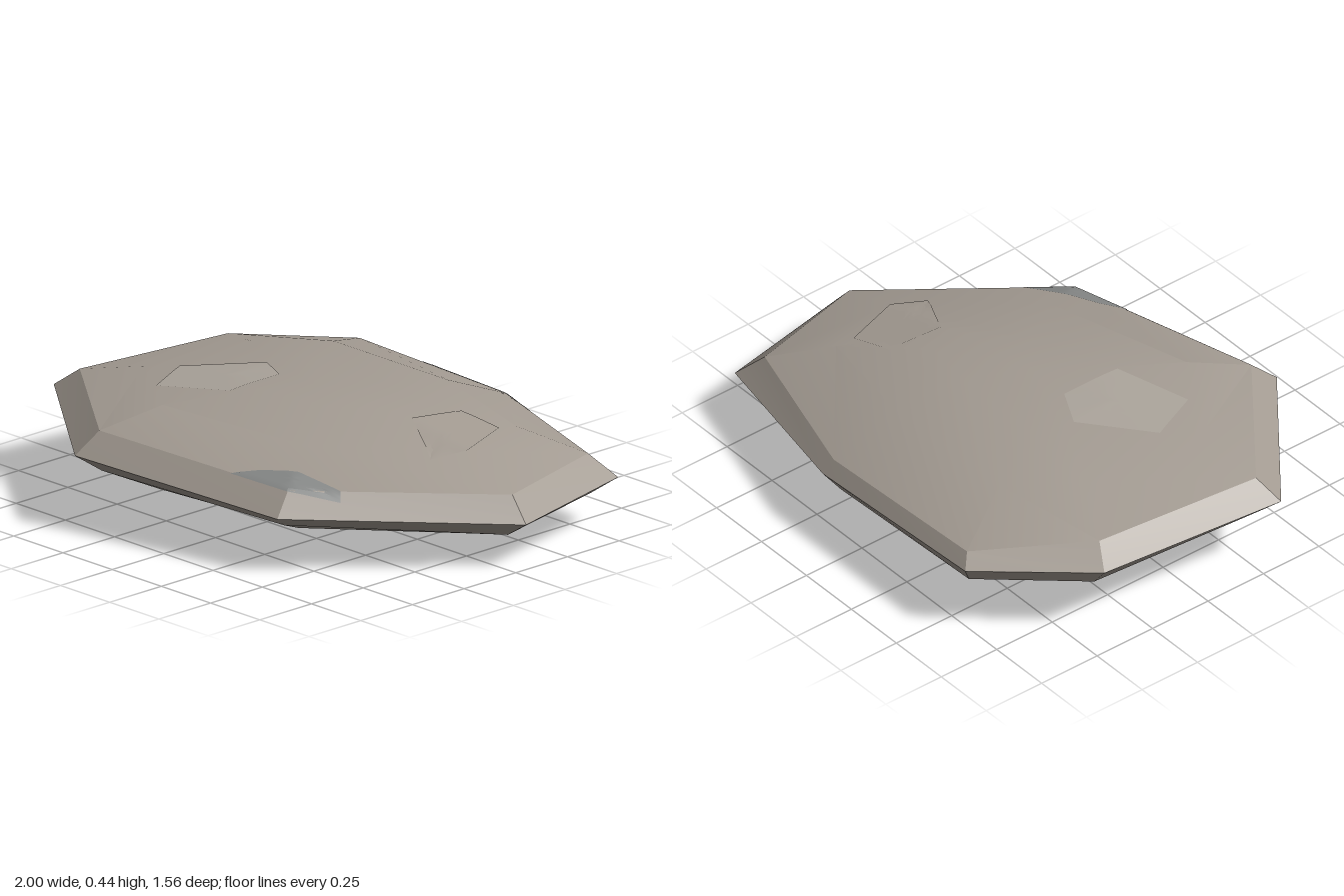
import * as THREE from 'three';
import { toCreasedNormals } from 'three/addons/utils/BufferGeometryUtils.js';

const V = (x, y, z) => new THREE.Vector3(x, y, z);
const ring = rows => rows.map(r => V(...r));

// Corners run back left, back, right, front, left (clockwise from above).
const rim = ring([
  [-0.6, 0.265, -0.77], [0.18, 0.235, -0.78], [0.88, 0.18, -0.61], [1, 0.165, -0.05],
  [0.44, 0.205, 0.62], [-0.42, 0.265, 0.78], [-1, 0.28, 0.33], [-0.93, 0.28, -0.41]]);
const bevel = ring([
  [-0.56, 0.31, -0.73], [0.17, 0.285, -0.74], [0.8, 0.265, -0.54], [0.92, 0.255, -0.06],
  [0.41, 0.285, 0.54], [-0.39, 0.345, 0.69], [-0.91, 0.35, 0.29], [-0.84, 0.345, -0.36]]);
const shoulder = ring([
  [-0.42, 0.395, -0.47], [0.15, 0.39, -0.48], [0.6, 0.355, -0.38], [0.67, 0.35, -0.08],
  [0.29, 0.375, 0.34], [-0.3, 0.41, 0.47], [-0.67, 0.4, 0.21], [-0.6, 0.405, -0.24]]);
const crown = ring([
  [-0.24, 0.43, -0.22], [0.1, 0.43, -0.22], [0.3, 0.42, -0.18], [0.33, 0.42, -0.05],
  [0.13, 0.43, 0.11], [-0.15, 0.438, 0.17], [-0.33, 0.43, 0.1], [-0.32, 0.43, -0.1]]);

// Underside rings: the rim shrunk, lowered and shifted a little to the back.
const under = (s, drop) => rim.map(p =>
  V(p.x * s, p.y * drop + 0.05 * Math.max(0, p.z) * s, p.z * s - 0.12 * (1 - s)));

// Joins rings from bottom to top; a one-point ring makes a closing fan.
function skin(rings) {
  const out = [];
  const tri = (a, b, c) => {
    if (a !== b && b !== c && a !== c) out.push(...a, ...b, ...c);
  };
  for (let k = 0; k < rings.length - 1; k++) {
    const A = rings[k], B = rings[k + 1], n = Math.max(A.length, B.length);
    for (let i = 0; i < n; i++) {
      const j = (i + 1) % n;
      const a = A[i % A.length], a2 = A[j % A.length];
      const b = B[i % B.length], b2 = B[j % B.length];
      tri(a, b, b2);
      tri(a, b2, a2);
    }
  }
  const geo = new THREE.BufferGeometry();
  geo.setAttribute('position', new THREE.Float32BufferAttribute(out, 3));
  return toCreasedNormals(geo, 0.32);
}

const material = color => new THREE.MeshStandardMaterial({ color });

export function createModel() {
  const group = new THREE.Group();
  group.name = 'flatRock';

  // Main stone
  const stone = new THREE.Mesh(skin([
    [V(-0.05, 0, -0.12)], under(0.4, 0.1), under(0.68, 0.3), under(0.9, 0.62),
    rim, bevel, shoulder, crown, [V(-0.02, 0.442, 0)]]), material(0xa39b92));
  stone.name = 'stone';
  stone.material.side = THREE.DoubleSide;
  stone.updateMatrixWorld(true);
  group.add(stone);

  // Chipped patches: (x, z) outlines laid just over the upper surface
  const ray = new THREE.Raycaster();
  const drape = (x, z) => {
    ray.set(V(x, 2, z), V(0, -1, 0));
    const hit = ray.intersectObject(stone)[0];
    return V(x, (hit ? hit.point.y : 0.24) + 0.003, z);
  };
  const addPatch = (name, color, outline) => {
    const edge = [], steps = 4, levels = 5;
    outline.forEach((p, i) => {
      const q = outline[(i + 1) % outline.length];
      for (let k = 0; k < steps; k++) {
        const t = k / steps;
        edge.push([p[0] + (q[0] - p[0]) * t, p[1] + (q[1] - p[1]) * t]);
      }
    });
    const cx = outline.reduce((s, p) => s + p[0], 0) / outline.length;
    const cz = outline.reduce((s, p) => s + p[1], 0) / outline.length;
    const rings = [];
    for (let l = levels; l > 0; l--) {
      rings.push(edge.map(([x, z]) =>
        drape(cx + (x - cx) * l / levels, cz + (z - cz) * l / levels)));
    }
    rings.push([drape(cx, cz)]);
    const mesh = new THREE.Mesh(skin(rings), material(color));
    mesh.name = name;
    group.add(mesh);
  };
  addPatch('backChip', 0x868887,
    [[-0.3, -0.76], [-0.16, -0.69], [0.16, -0.62], [0.35, -0.66], [0.4, -0.715], [0.18, -0.768]]);
  addPatch('frontChip', 0x868887,
    [[0.37, 0.45], [0.53, 0.4], [0.55, 0.42], [0.41, 0.545], [0.17, 0.59], [0.25, 0.52]]);
  addPatch('leftTopFacet', 0xa39b92,
    [[0.43, -0.28], [0.59, -0.31], [0.67, -0.08], [0.62, 0.05], [0.4, -0.07]]);
  addPatch('rightTopFacet', 0xaaa39a,
    [[-0.34, -0.07], [-0.2, 0], [-0.2, 0.24], [-0.47, 0.34], [-0.56, 0.14]]);

  return group;
}
